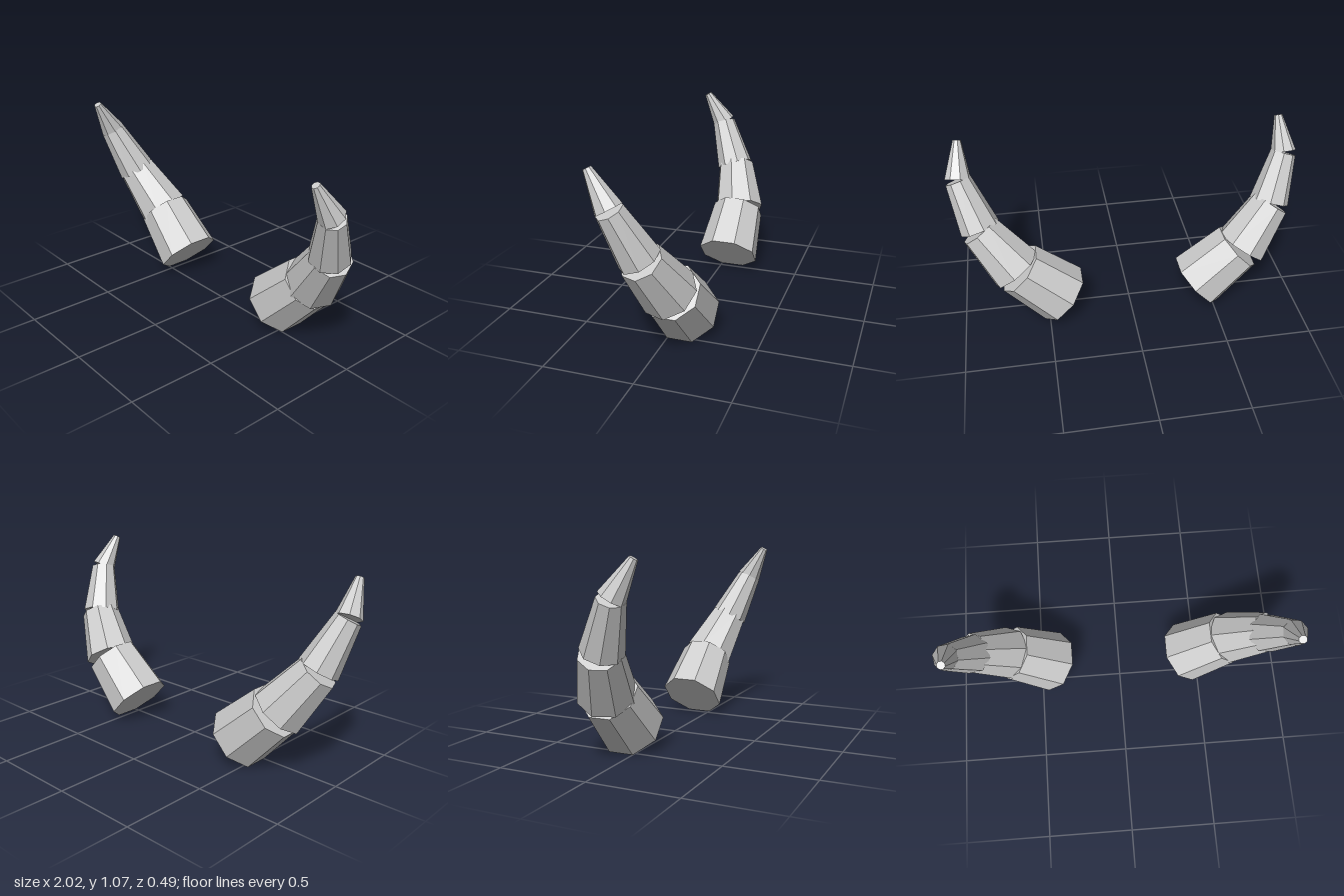
import * as THREE from 'three';

// Overlapping tapered segments: bottom centre, top centre, bottom radius, top radius
const SEGMENTS = [
  { name: 'hornBase', from: [0.411, 0.128, -0.072], to: [0.652, 0.354, -0.070], r0: 0.187, r1: 0.160 },
  { name: 'hornLower', from: [0.670, 0.355, -0.070], to: [0.853, 0.600, 0.005], r0: 0.158, r1: 0.116 },
  { name: 'hornUpper', from: [0.848, 0.606, 0.012], to: [0.939, 0.870, 0.118], r0: 0.115, r1: 0.074 },
  { name: 'hornTip', from: [0.939, 0.874, 0.120], to: [0.923, 1.061, 0.229], r0: 0.074, r1: 0.023 },
];

const material = new THREE.MeshStandardMaterial({ color: 0xcccccc, flatShading: true });

// Eight-sided frustum between two points, one flat side always facing down
function createSegment({ name, from, to, r0, r1 }, side) {
  const a = new THREE.Vector3(from[0] * side, from[1], from[2]);
  const b = new THREE.Vector3(to[0] * side, to[1], to[2]);
  const d = b.clone().sub(a);
  const geometry = new THREE.CylinderGeometry(r1, r0, d.length(), 8, 1, false, Math.PI / 8);
  const mesh = new THREE.Mesh(geometry, material);
  mesh.name = name;
  mesh.position.copy(a).add(b).multiplyScalar(0.5);
  // Lean away from vertical, then turn to the heading
  mesh.rotation.set(0, Math.atan2(-d.z, d.x), -Math.atan2(Math.hypot(d.x, d.z), d.y), 'YZX');
  return mesh;
}

export function createModel() {
  const model = new THREE.Group();
  model.name = 'horns';
  for (const side of [1, -1]) {
    const horn = new THREE.Group();
    horn.name = side > 0 ? 'leftHorn' : 'rightHorn';
    SEGMENTS.forEach((s) => horn.add(createSegment(s, side)));
    model.add(horn);
  }
  return model;
}
